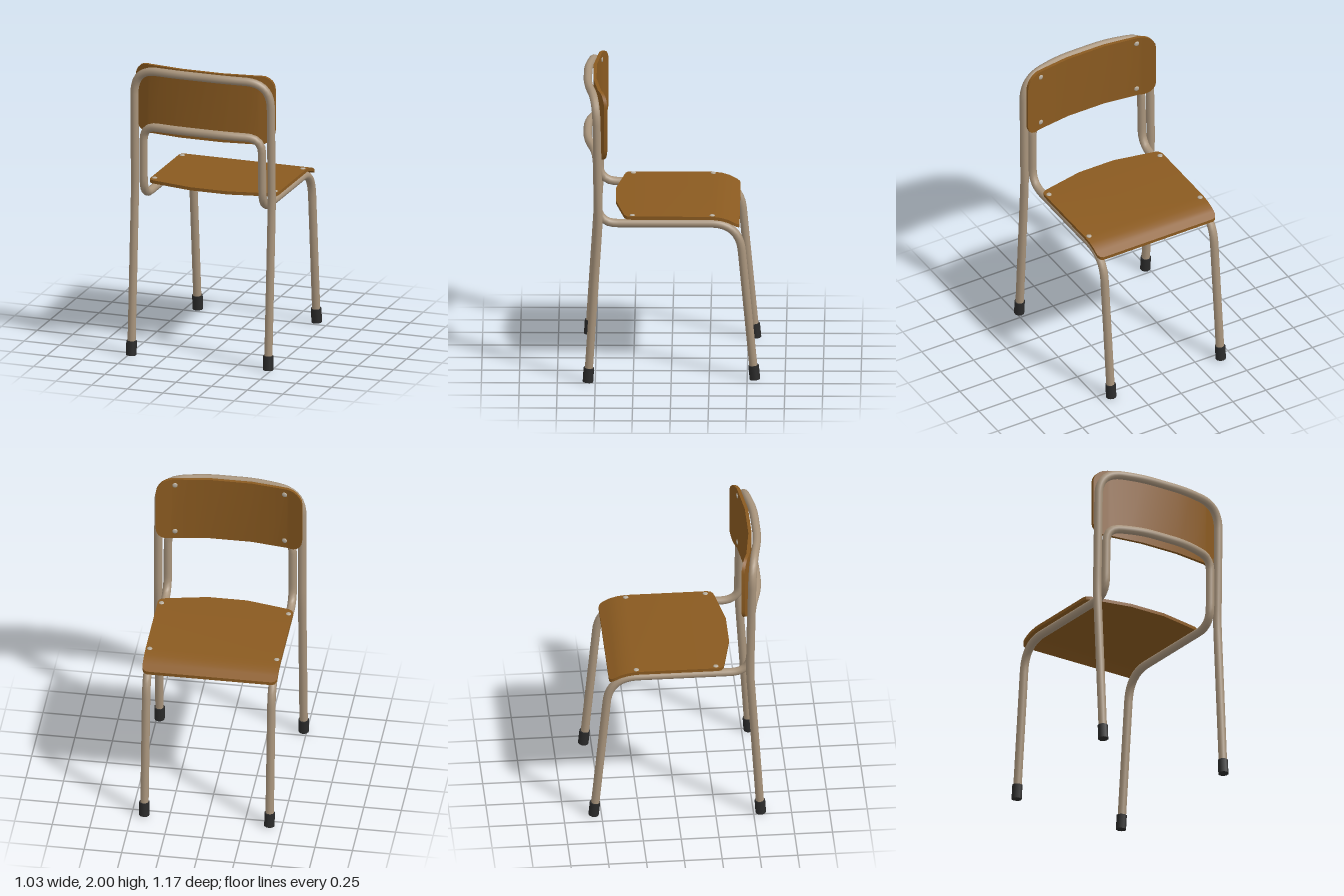
import * as THREE from 'three';
import { toCreasedNormals } from 'three/addons/utils/BufferGeometryUtils.js';

const V = (x, y, z) => new THREE.Vector3(x, y, z);
const mat = (name, color) => {
  const m = new THREE.MeshStandardMaterial({ color });
  m.name = name;
  return m;
};

// Piecewise linear lookup in [[input, output], ...]
function lerpTable(table, t) {
  for (let i = 1; i < table.length; i++) {
    const [a, va] = table[i - 1], [b, vb] = table[i];
    if (t <= b) return va + (vb - va) * Math.max(0, (t - a) / (b - a));
  }
  return table[table.length - 1][1];
}

// Bent pipe: straight runs joined by rounded corners [point, bend length]
function pipe(corners, radius) {
  const path = new THREE.CurvePath();
  let from = corners[0][0];
  for (let i = 1; i < corners.length - 1; i++) {
    const [p, bend] = corners[i];
    const toward = (q) => p.clone().add(q.clone().sub(p).setLength(bend));
    const a = toward(corners[i - 1][0]), b = toward(corners[i + 1][0]);
    path.add(new THREE.LineCurve3(from, a));
    path.add(new THREE.QuadraticBezierCurve3(a, p, b));
    from = b;
  }
  path.add(new THREE.LineCurve3(from, corners[corners.length - 1][0]));
  return new THREE.TubeGeometry(path, 160, radius, 10);
}

// Mirror half of a frame (foot to centre) onto the other side
const mirrored = (half) => [
  ...half,
  ...half.slice().reverse().map(([p, b]) => [V(-p.x, p.y, p.z), b]),
];

// Solid sheet lofted through four-cornered sections
function sheet(sections) {
  const pos = sections.flat().flatMap((p) => [p.x, p.y, p.z]);
  const idx = [0, 2, 1, 0, 3, 2];
  const last = (sections.length - 1) * 4;
  idx.push(last, last + 1, last + 2, last, last + 2, last + 3);
  for (let s = 0; s < last; s += 4) {
    for (let i = 0; i < 4; i++) {
      const a = s + i, b = s + (i + 1) % 4;
      idx.push(a, b, a + 4, b, b + 4, a + 4);
    }
  }
  const g = new THREE.BufferGeometry();
  g.setAttribute('position', new THREE.Float32BufferAttribute(pos, 3));
  g.setIndex(idx);
  return toCreasedNormals(g, 0.5);
}

export function createModel() {
  const group = new THREE.Group();
  const wood = mat('varnished plywood', 0x8a5a20);
  const metal = mat('beige painted steel', 0xa8947c);
  const rubber = mat('black rubber', 0x2b2b2b);
  const steel = mat('rivet steel', 0xb4aa9a);
  const add = (name, geometry, material) => {
    const m = new THREE.Mesh(geometry, material);
    m.name = name;
    group.add(m);
    return m;
  };

  // Rear legs rising into the upper back rail
  add('rearFrame', pipe(mirrored([
    [V(0.48, 0.03, 0.546), 0],
    [V(0.48, 1.12, 0.477), 0.08],
    [V(0.478, 1.963, 0.495), 0.17],
    [V(0.17, 1.974, 0.552), 0.1],
  ]), 0.028), metal);

  // Front legs, seat rails and lower back rail
  add('seatFrame', pipe(mirrored([
    [V(0.417, 0.03, -0.547), 0],
    [V(0.417, 1.088, -0.447), 0.19],
    [V(0.417, 1.088, 0.483), 0.13],
    [V(0.415, 1.575, 0.49), 0.1],
    [V(0.17, 1.589, 0.553), 0.1],
  ]), 0.028), metal);

  // Rubber feet, tilted with the legs
  for (const side of [-1, 1]) {
    for (const [name, x, z, tilt] of [
      ['rearFoot', 0.48, 0.545, -0.063],
      ['frontFoot', 0.417, -0.547, 0.094],
    ]) {
      const foot = add(name, new THREE.CylinderGeometry(0.035, 0.035, 0.098, 10), rubber);
      foot.position.set(side * x, 0.052, z);
      foot.rotation.x = tilt;
    }
  }

  // Seat: flat board with a drooping front lip and a tapered rear edge
  const droop = [[-0.45, 1.085], [-0.38, 1.122], [-0.33, 1.137], [-0.27, 1.145], [0.4, 1.145]];
  const outline = [
    [-0.45, 0.415], [-0.443, 0.436], [-0.425, 0.448], [-0.405, 0.45], [-0.38, 0.45],
    [-0.33, 0.45], [-0.27, 0.45], [0.27, 0.45], [0.293, 0.443], [0.308, 0.42],
    [0.314, 0.395], [0.367, 0.13],
  ];
  add('seat', sheet(outline.map(([z, w]) => {
    const y = lerpTable(droop, z), t = 0.022;
    return [V(w, y, z), V(-w, y, z), V(-w, y - t, z), V(w, y - t, z)];
  })), wood);

  // Backrest: curved board with rounded corners
  const bow = [[0.14, 0.494], [0.38, 0.461], [0.487, 0.42]];
  const R = 0.09, W = 0.487, midY = 1.765, halfH = 0.235;
  const half = [0.14, 0.26, 0.38];
  for (let i = 0; i <= 5; i++) half.push(W - R + R * Math.sin(i * Math.PI / 10));
  const columns = [...half.slice().reverse().map((x) => -x), ...half];
  add('backrest', sheet(columns.map((x) => {
    const z = lerpTable(bow, Math.abs(x)), t = 0.022;
    const c = Math.max(0, Math.abs(x) - (W - R));
    const h = halfH - R + Math.sqrt(Math.max(0, R * R - c * c));
    return [V(x, midY - h, z), V(x, midY + h, z), V(x, midY + h, z + t), V(x, midY - h, z + t)];
  })), wood);

  // Domed rivets on the seat and backrest
  const dome = new THREE.SphereGeometry(0.018, 12, 8);
  for (const side of [-1, 1]) {
    for (const z of [-0.27, 0.256]) {
      const r = add('seatRivet', dome, steel);
      r.position.set(side * 0.423, 1.145, z);
      r.scale.y = 0.4;
    }
    for (const y of [1.585, 1.955]) {
      const r = add('backRivet', dome, steel);
      r.position.set(side * 0.365, y, 0.463);
      r.scale.z = 0.4;
      r.rotation.y = side * 0.14;
    }
  }
  return group;
}
